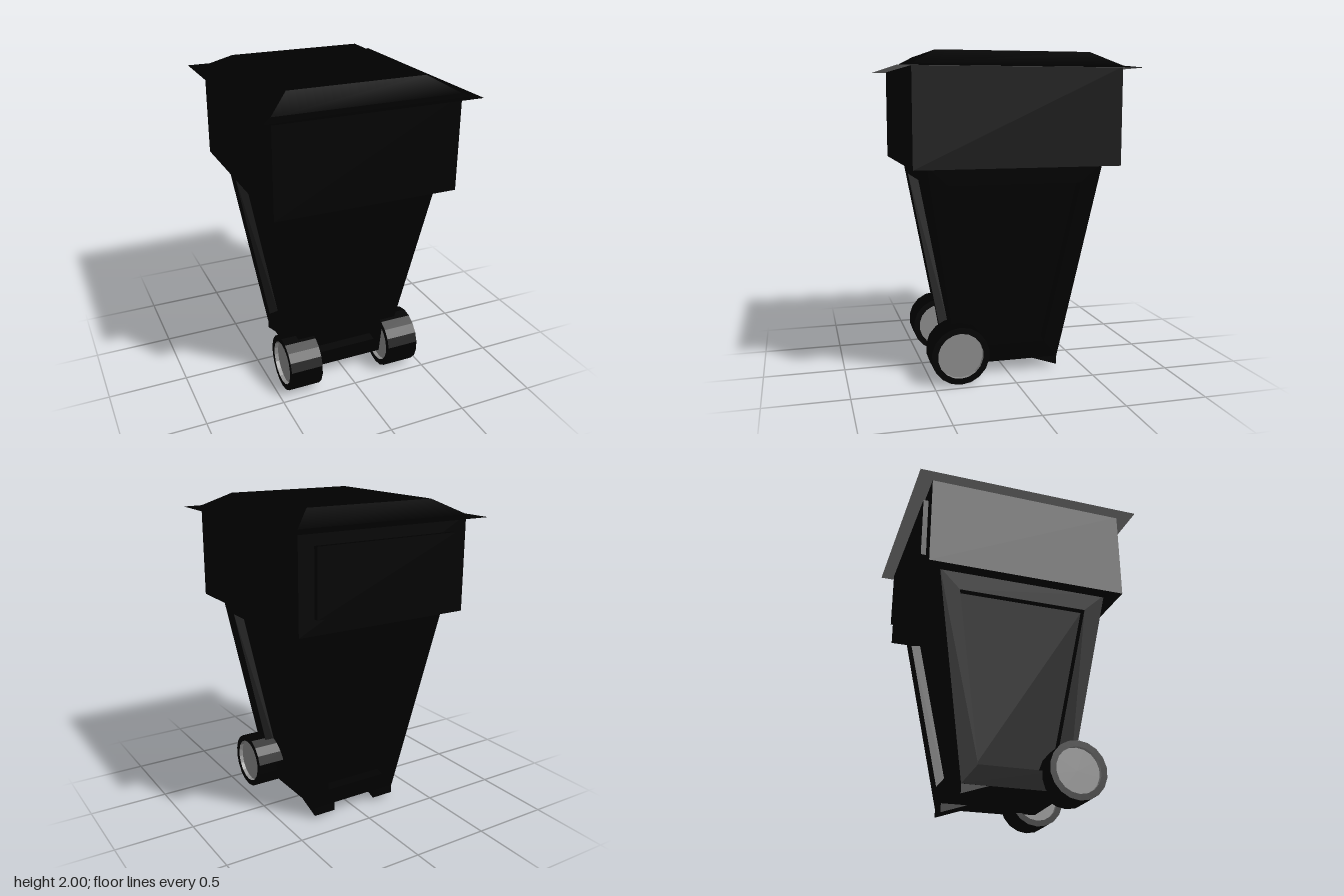
import * as THREE from 'three';
import { toCreasedNormals } from 'three/addons/utils/BufferGeometryUtils.js';

const dark = new THREE.MeshStandardMaterial({ color: 0x000000 });
const grey = new THREE.MeshStandardMaterial({ color: 0x8c8c8c });

function add(parent, name, geometry, material = dark) {
  const mesh = new THREE.Mesh(geometry, material);
  mesh.name = name;
  parent.add(mesh);
  return mesh;
}

// Flat-faced skin through nested four-corner loops, optionally closed at the last one
function skin(loops, cap = true) {
  const pos = [];
  const quad = (a, b, c, d) => pos.push(...a, ...b, ...c, ...a, ...c, ...d);
  for (let k = 0; k < loops.length - 1; k++) {
    const p = loops[k], q = loops[k + 1];
    for (let i = 0; i < 4; i++) {
      const j = (i + 1) % 4;
      quad(p[i], p[j], q[j], q[i]);
    }
  }
  if (cap) quad(...loops[loops.length - 1]);
  const g = new THREE.BufferGeometry();
  g.setAttribute('position', new THREE.Float32BufferAttribute(pos, 3));
  g.computeVertexNormals();
  return g;
}

// Horizontal rectangle, counter-clockwise from above
const rect = (x, z, y) => [[-x, y, z], [x, y, z], [x, y, -z], [-x, y, -z]];

// Half width and half depth of the tapering bin at a height
const halfX = y => 0.304 + 0.152 * (y - 0.08);
const halfZ = y => 0.326 + 0.169 * (y - 0.08);

// One tapering wall with a recessed panel sunk square to it, built facing +z
function wall(across, out) {
  const trapezoid = (y0, y1, margin, depth) => [[y0, -1], [y0, 1], [y1, 1], [y1, -1]]
    .map(([y, s]) => [s * (across(y) - margin), y + 0.16 * depth, out(y) - depth]);
  return skin([
    trapezoid(0.08, 1.34, 0, 0),
    trapezoid(0.195, 1.22, 0.112, 0),
    trapezoid(0.195, 1.22, 0.112, 0.06),
  ]);
}

// Faceted ring or disc turned around the x axis
function turned(points) {
  const profile = points.map(p => new THREE.Vector2(...p));
  const g = new THREE.LatheGeometry(profile, 18, Math.PI / 2).toNonIndexed();
  g.computeVertexNormals();
  return g.rotateZ(Math.PI / 2);
}

// Wheel with sunken hubs on both sides
function createWheel() {
  const wheel = new THREE.Group();
  const w = 0.104, r = 0.179, hub = 0.141, sunk = w - 0.025;
  add(wheel, 'tyre', turned([[hub, -w], [r, -w], [r, w], [hub, w]]));
  add(wheel, 'hub', turned([[hub, w], [hub, sunk], [0, sunk]]), grey);
  add(wheel, 'innerHub', turned([[0, -sunk], [hub, -sunk], [hub, -w]]), grey);
  return wheel;
}

export function createModel() {
  const bin = new THREE.Group();
  bin.name = 'wheeledBin';

  // Tapering body
  const body = new THREE.Group();
  body.name = 'body';
  bin.add(body);
  ['frontWall', 'leftWall', 'backWall', 'rightWall'].forEach((name, k) => {
    const g = k % 2 ? wall(halfZ, halfX) : wall(halfX, halfZ);
    g.rotateY(k * Math.PI / 2);
    add(body, name, g);
  });
  add(body, 'floor', skin([rect(halfX(0.08), halfZ(0.08), 0.08).reverse()]));

  // Collar around the top, with a raised plate on the back
  add(bin, 'collar', new THREE.BoxGeometry(1.15, 0.584, 1.253)).position.set(0, 1.618, 0.003);
  add(bin, 'backPlate', new THREE.BoxGeometry(0.95, 0.4, 0.06)).position.set(0, 1.62, -0.625);

  // Sloped lid flowing softly into a thin overhanging brim
  const brim = rect(0.66, 0.72, 1.902);
  const lid = skin([brim, rect(0.575, 0.625, 1.915), rect(0.43, 0.47, 2)]);
  add(bin, 'lid', toCreasedNormals(lid, 0.45));
  add(bin, 'lidUnderside', skin([
    [...brim].reverse(),
    rect(0.57, 0.62, 1.904).reverse(),
  ], false), grey);

  // Rear feet and front wheels
  const footShape = new THREE.Shape([[0.16, 0.09], [0.16, 0.08], [0.326, 0.024], [0.326, 0.09]]
    .map(p => new THREE.Vector2(...p)));
  for (const side of [1, -1]) {
    const label = side > 0 ? 'left' : 'right';
    const foot = new THREE.ExtrudeGeometry(footShape, { depth: 0.15, bevelEnabled: false });
    foot.translate(0, 0, -0.075);
    foot.rotateY(Math.PI / 2);
    add(bin, label + 'Foot', foot).position.x = side * 0.227;

    const wheel = createWheel();
    wheel.name = label + 'Wheel';
    wheel.position.set(side * 0.34, 0.181, 0.334);
    bin.add(wheel);
  }
  return bin;
}
